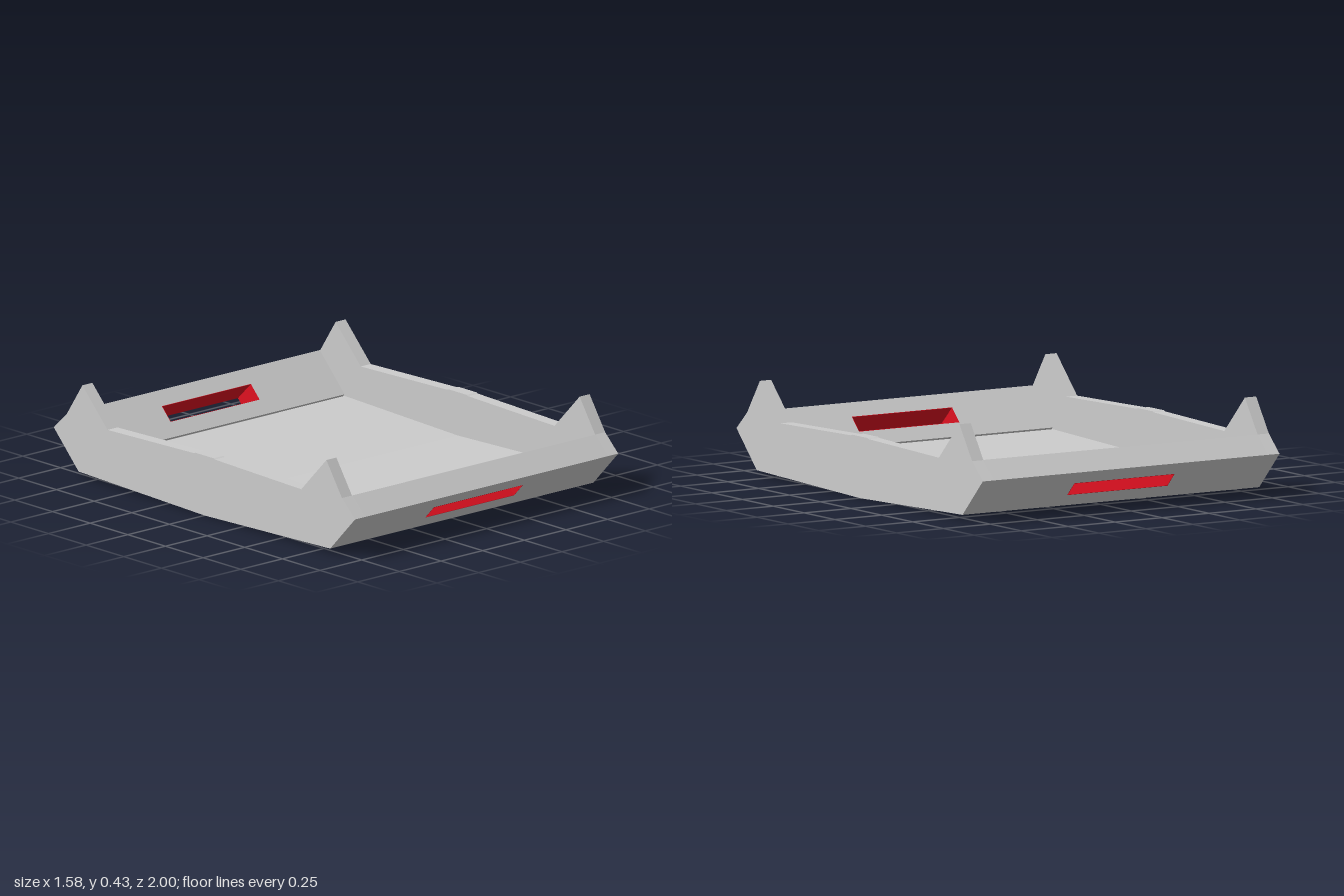
import * as THREE from 'three';

const grey = new THREE.MeshStandardMaterial({ color: 0xcccccc, flatShading: true });
const red = new THREE.MeshStandardMaterial({ color: 0xe01020, flatShading: true });

const HALF_WIDTH = 0.79, INNER = 0.73;

// Mirror a half profile of (z, y) points to the negative z side
function mirrored(points) {
  const other = points.filter(([z]) => z > 0).map(([z, y]) => [-z, y]).reverse();
  return [...points, ...other];
}

// Extrude a (z, y) profile across the model from x0 to x1
function across(profile, x0, x1) {
  const shape = new THREE.Shape(profile.map(([z, y]) => new THREE.Vector2(z, y)));
  const geometry = new THREE.ExtrudeGeometry(shape, { depth: x1 - x0, bevelEnabled: false });
  return geometry.rotateY(-Math.PI / 2).translate(x1, 0, 0);
}

function rectangle(Kind, halfW, y0, y1) {
  return new Kind([[-halfW, y0], [halfW, y0], [halfW, y1], [-halfW, y1]]
    .map(([x, y]) => new THREE.Vector2(x, y)));
}

// Rectangular slab with a rectangular opening, outer face at z = 0
function frame(outer, opening, depth) {
  const shape = rectangle(THREE.Shape, ...outer);
  shape.holes.push(rectangle(THREE.Path, ...opening));
  return new THREE.ExtrudeGeometry(shape, { depth, bevelEnabled: false }).translate(0, 0, -depth);
}

function add(parent, name, geometry, material) {
  const mesh = new THREE.Mesh(geometry, material);
  mesh.name = name;
  parent.add(mesh);
}

export function createModel() {
  const model = new THREE.Group();
  model.name = 'tray';

  // Slightly bowed floor between the side walls
  const floor = [[0, 0], [0.835, 0.025], [0.75, 0.1], [0, 0.077]];
  add(model, 'floor', across(mirrored(floor), -INNER, INNER), grey);

  // Side walls with raised corner peaks
  const side = [[0, 0], [0.835, 0.025], [1, 0.195], [0.913, 0.276], [0.81, 0.43],
    [0.643, 0.259], [0.07, 0.274], [0.06, 0.278], [0, 0.278]];
  add(model, 'leftSideWall', across(mirrored(side), INNER, HALF_WIDTH), grey);
  add(model, 'rightSideWall', across(mirrored(side), -HALF_WIDTH, -INNER), grey);

  // Sloping end walls, each with a red-lined handle slot
  const rise = 0.17, run = 0.165, thickness = 0.118;
  for (const [name, turn] of [['front', 0], ['back', Math.PI]]) {
    const end = new THREE.Group();
    end.name = name + 'End';
    end.rotation.y = turn;
    const panel = new THREE.Group();
    panel.name = name + 'Panel';
    panel.position.set(0, 0.025, 0.835);
    panel.rotation.x = Math.atan2(run, rise);
    add(panel, name + 'Wall',
      frame([INNER, 0, Math.hypot(rise, run)], [0.267, 0.075, 0.159], thickness), grey);
    add(panel, name + 'SlotLining',
      frame([0.267, 0.075, 0.159], [0.265, 0.077, 0.157], thickness), red);
    end.add(panel);
    model.add(end);
  }
  return model;
}
